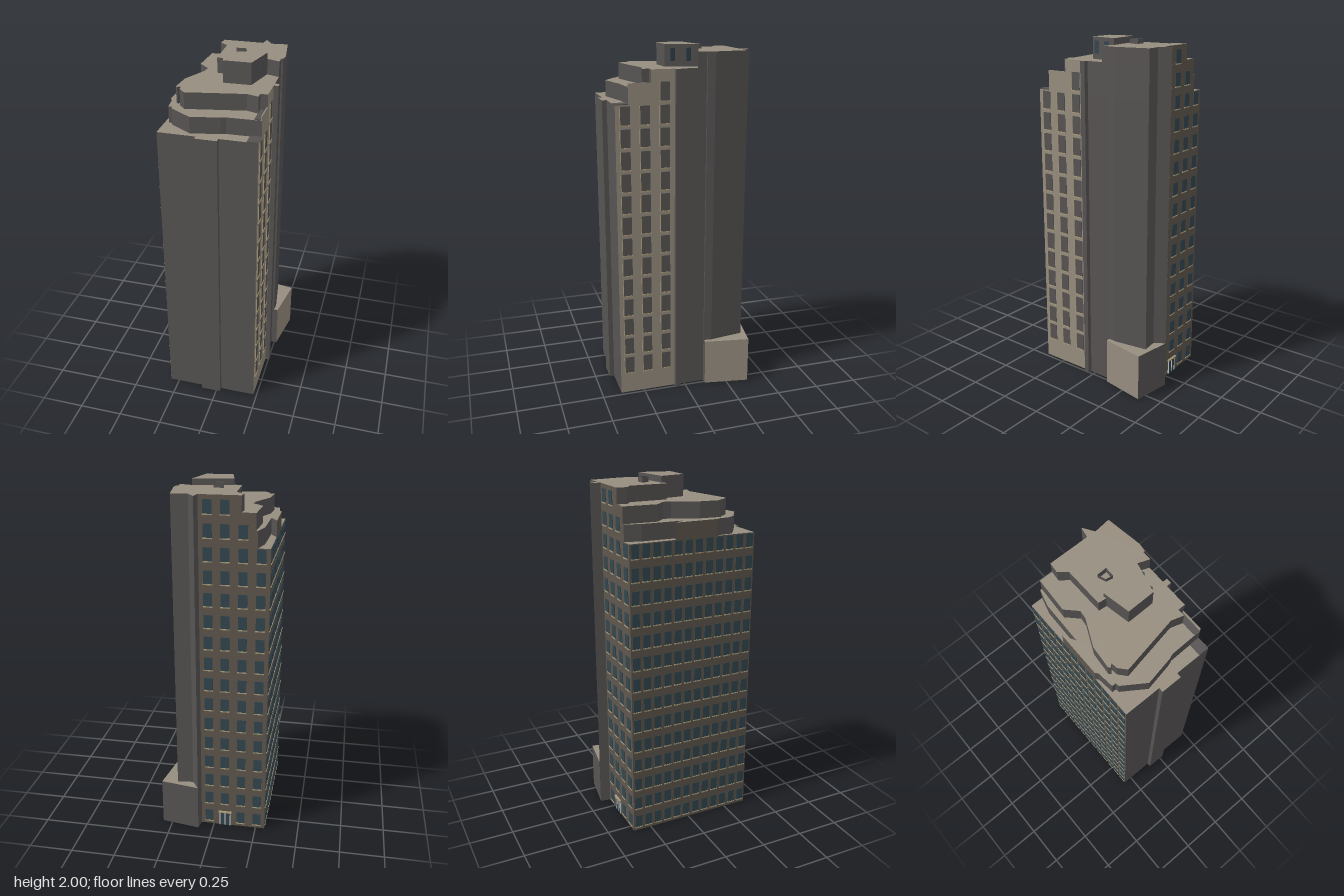
import * as THREE from 'three';
import { mergeGeometries } from 'three/addons/utils/BufferGeometryUtils.js';

const mat = (name, color) => {
  const m = new THREE.MeshStandardMaterial({ color, side: THREE.DoubleSide });
  m.name = name;
  return m;
};

export function createModel() {
  const model = new THREE.Group();
  model.name = 'tower';
  const stone = mat('stone beige', 0x968d7e);
  const dark = mat('dark grey', 0x575353);
  const brown = mat('shaded brown', 0x5f574d);
  const glass = mat('blue glass', 0x33464f);
  const sill = mat('sill tan', 0xa89a78);
  const white = mat('white trim', 0xd8dad6);
  const walls = [dark, stone, brown];

  const add = (name, geometry, material) => {
    const m = new THREE.Mesh(geometry, material);
    m.name = name;
    model.add(m);
    return m;
  };
  const box = (w, h, d, x, y, z) => new THREE.BoxGeometry(w, h, d).translate(x, y, z);

  // Opening of the roof shaft, cut through every roof
  const shaft = [[-0.025, -0.155], [0.03, -0.157], [0.03, -0.105], [-0.008, -0.112]];

  // Walls on an outline of [x, z, wall index of the edge that starts here]
  function wallGeometry(pts, y0, y1) {
    const parts = [[], [], []];
    pts.forEach(([ax, az, k = 0], i) => {
      const [bx, bz] = pts[(i + 1) % pts.length];
      parts[k].push(ax, y0, az, bx, y0, bz, bx, y1, bz, ax, y0, az, bx, y1, bz, ax, y1, az);
    });
    const g = new THREE.BufferGeometry();
    g.setAttribute('position', new THREE.Float32BufferAttribute(parts.flat(), 3));
    let start = 0;
    parts.forEach((p, k) => {
      if (p.length) g.addGroup(start, p.length / 3, k);
      start += p.length / 3;
    });
    g.computeVertexNormals();
    return g;
  }

  function storey(name, pts, y0, y1, hole = true) {
    add(name + ' walls', wallGeometry(pts, y0, y1), walls);
    const v = ([x, z]) => new THREE.Vector2(x, -z);
    const s = new THREE.Shape(pts.map(v));
    if (hole) s.holes.push(new THREE.Path(shaft.map(v)));
    add(name + ' roof', new THREE.ShapeGeometry(s).rotateX(-Math.PI / 2).translate(0, y1, 0), stone);
  }

  // Outline shared by the upper storeys: side pilaster and rear corner
  const rearCorner = [[0.23, -0.12], [0.24, -0.12], [0.245, -0.165], [0.215, -0.365],
    [0.125, -0.355], [0.085, -0.415], [0.075, -0.357, 2]];
  const rightSide = [[0.23, 0.06], [0.256, 0.06], [0.256, 0.03], [0.23, 0.03], ...rearCorner];

  storey('main block', [[-0.302, 0.39], [-0.093, 0.39], [-0.093, 0.415], [0.025, 0.415],
    [0.025, 0.388], [0.23, 0.388, 1], ...rightSide, [-0.302, -0.357, 2]], 0, 1.7);

  storey('lower terrace', [[-0.302, 0.155], [-0.29, 0.17], [-0.28, 0.26], [-0.26, 0.26],
    [-0.255, 0.28], [-0.135, 0.36], [0.02, 0.33], [0.045, 0.32], [0.23, 0.315, 1], ...rightSide,
    [-0.235, -0.357], [-0.26, -0.265], [-0.265, -0.03], [-0.302, -0.095, 2]], 1.7, 1.79);

  storey('upper terrace', [[-0.255, 0.2], [-0.245, 0.21], [-0.23, 0.195], [-0.225, 0.23],
    [-0.19, 0.27], [0.125, 0.21], [0.19, 0.23], [0.19, 0.19], [0.23, 0.19, 1], ...rightSide,
    [-0.225, -0.357], [-0.235, -0.165], [-0.175, -0.105], [-0.18, -0.06], [-0.245, 0.08]], 1.79, 1.88);

  storey('rear top', [[-0.105, -0.05], [-0.065, -0.045], [0.12, -0.085], [0.16, -0.095],
    [0.23, -0.07], ...rearCorner, [-0.15, -0.357], [-0.155, -0.3], [-0.11, -0.265]], 1.88, 1.965);

  storey('rooftop house', [[-0.035, 0.087], [0.117, 0.084], [0.16, -0.095], [0.12, -0.09],
    [-0.065, -0.06]], 1.88, 2, false);

  storey('low annex', [[0.23, -0.12], [0.265, -0.12, 1], [0.307, -0.38], [0.085, -0.416],
    [0.125, -0.355]], 0, 0.275, false);

  add('roof shaft', wallGeometry([...shaft].reverse().map(([x, z]) => [x, z]), 1.95, 1.992), dark);

  // Dark roof corners and the raised edge of the right wall
  add('lower dark roof', box(0.058, 0.006, 0.073, 0.2, 1.702, 0.352), dark);
  add('upper dark roof', box(0.038, 0.006, 0.123, 0.21, 1.793, 0.252), dark);
  add('right parapet', box(0.006, 0.022, 0.125, 0.227, 1.801, 0.2525), stone);

  // Rooftop house windows on the slanted side
  const a = Math.atan2(0.043, 0.179);
  for (const t of [0.27, 0.74]) {
    const w = add('rooftop window', new THREE.BoxGeometry(0.006, 0.07, 0.045), glass);
    w.position.set(0.117 + 0.043 * t, 1.945, 0.084 - 0.179 * t);
    w.rotation.y = a;
  }

  const PITCH = 0.123;

  // Right wall: three tall columns of windows with light edges
  const rPanes = [], rEdges = [];
  [[0.335, 13], [0.226, 13], [0.115, 14]].forEach(([z, rows]) => {
    for (let r = 0; r < rows; r++) {
      const y = 0.125 + r * PITCH * 0.993;
      rPanes.push(box(0.006, 0.102, 0.055, 0.23, y + 0.051, z));
      rEdges.push(box(0.009, 0.006, 0.058, 0.231, y, z));
      rEdges.push(box(0.008, 0.102, 0.004, 0.231, y + 0.051, z + 0.028));
    }
  });
  add('right windows', mergeGeometries(rPanes), dark);
  add('right window edges', mergeGeometries(rEdges), sill);

  // Back wall: four columns of windows, leaving room for the door
  const bPanes = [], bSills = [];
  [[-0.255, 14], [-0.16, 15], [-0.065, 16], [0.027, 16]].forEach(([x, rows], c) => {
    for (let r = c === 2 ? 1 : 0; r < rows; r++) {
      const y = 0.02 + r * PITCH;
      bPanes.push(box(0.048, 0.076, 0.006, x, y + 0.038, -0.357));
      bSills.push(box(0.052, 0.006, 0.009, x, y, -0.358));
    }
  });
  add('back windows', mergeGeometries(bPanes), glass);
  add('back sills', mergeGeometries(bSills), sill);

  // Left wall: a dense grid of windows
  const lPanes = [], lSills = [];
  for (let c = 0; c < 12; c++) {
    const z = -0.357 + (c + 0.5) * 0.747 / 12;
    for (let r = 0; r < 14; r++) {
      const y = 0.02 + r * PITCH;
      lPanes.push(box(0.006, 0.076, 0.042, -0.302, y + 0.038, z));
      lSills.push(box(0.009, 0.006, 0.046, -0.303, y, z));
    }
  }
  add('left windows', mergeGeometries(lPanes), glass);
  add('left sills', mergeGeometries(lSills), sill);

  // Back door with its canopy
  add('door', box(0.06, 0.085, 0.006, -0.067, 0.0425, -0.357), glass);
  add('door frame', mergeGeometries([-0.098, -0.067, -0.036].map(
    (x) => box(0.005, 0.085, 0.009, x, 0.0425, -0.358))), white);
  add('door canopy', box(0.078, 0.008, 0.012, -0.067, 0.09, -0.363), sill);

  return model;
}
